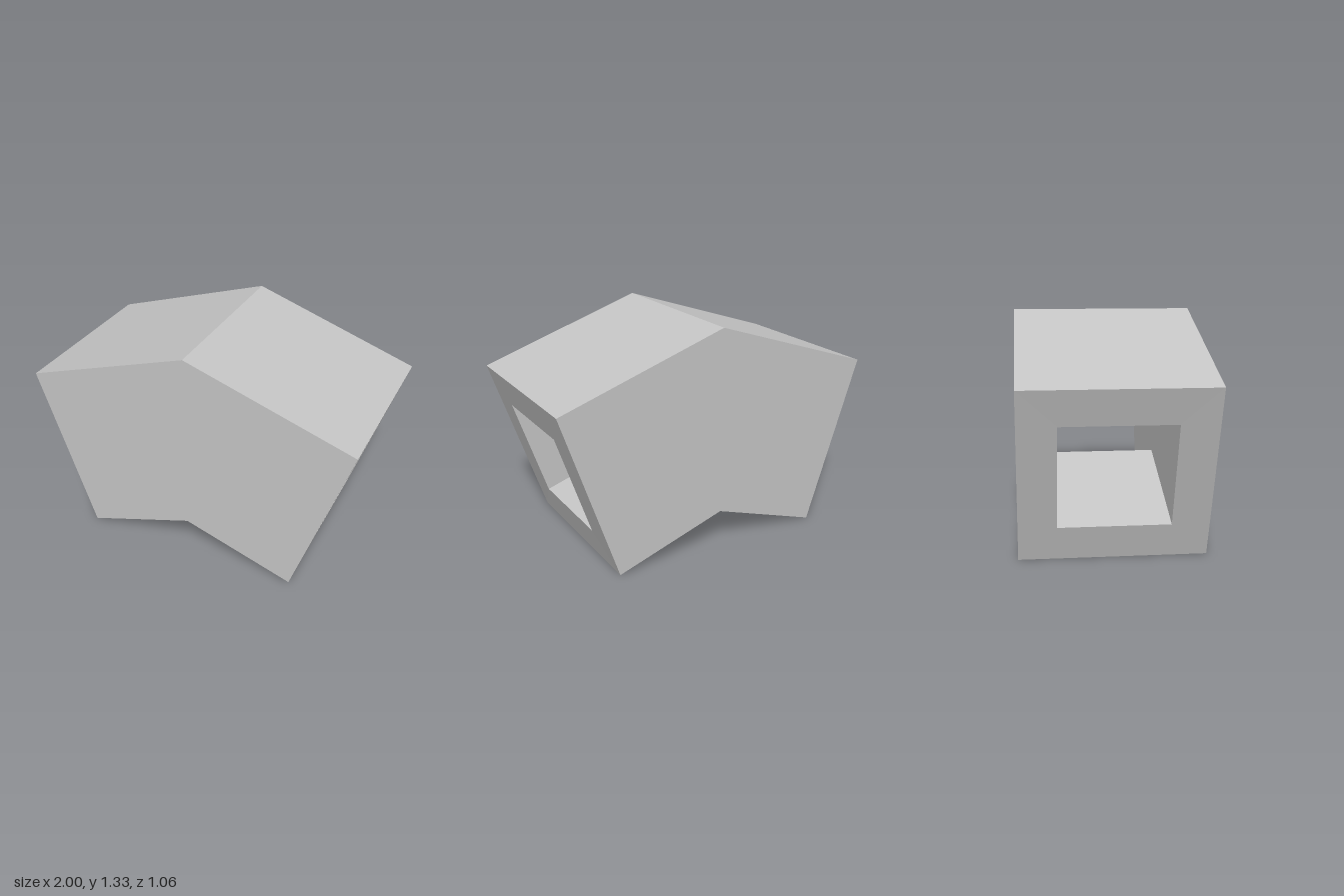
import * as THREE from 'three';

// Three matching cross-sections (right end, middle bend, left end), joined in a loop.
// Each section is a rectangle given by its bottom and top points and half depth.
function sweep(sections, halfDepth, inward) {
  const pos = [];
  const quad = (a, b, c, d) => {
    const q = inward ? [a, c, b, a, d, c] : [a, b, c, a, c, d];
    q.forEach(p => pos.push(...p));
  };
  const rings = sections.map(s => corners(s, halfDepth));
  for (let i = 0; i < rings.length - 1; i++) {
    for (let j = 0; j < 4; j++) {
      const k = (j + 1) % 4;
      quad(rings[i][j], rings[i + 1][j], rings[i + 1][k], rings[i][k]);
    }
  }
  return toGeometry(pos);
}

// Corners in order: bottom front, top front, top back, bottom back
function corners([bx, by, tx, ty], d) {
  return [[bx, by, d], [tx, ty, d], [tx, ty, -d], [bx, by, -d]];
}

// Frame-shaped end face between the outer and inner rectangles
function endFrame(outer, inner, outerDepth, innerDepth, flip) {
  const o = corners(outer, outerDepth);
  const n = corners(inner, innerDepth);
  const pos = [];
  for (let j = 0; j < 4; j++) {
    const k = (j + 1) % 4;
    const q = [o[j], n[k], o[k], o[j], n[j], n[k]];
    if (flip) q.reverse();
    q.forEach(p => pos.push(...p));
  }
  return toGeometry(pos);
}

function toGeometry(pos) {
  const g = new THREE.BufferGeometry();
  g.setAttribute('position', new THREE.Float32BufferAttribute(pos, 3));
  g.computeVertexNormals();
  return g;
}

export function createModel() {
  const group = new THREE.Group();
  group.name = 'bentDuct';
  const grey = new THREE.MeshStandardMaterial({ color: 0xc4c4c4 });
  grey.name = 'grey';

  // Mirror an end section and put the bend between the two
  const mirrored = (end, mid) => [[-end[0], end[1], -end[2], end[3]], mid, end];
  const outer = mirrored([0.667, 0, 1, 1], [0, 0.223, 0, 1.333]);
  const inner = mirrored([0.733, 0.2, 0.933, 0.8], [0, 0.444, 0, 1.111]);
  const outerDepth = 0.528, innerDepth = 0.316;

  const add = (name, geometry) => {
    const mesh = new THREE.Mesh(geometry, grey);
    mesh.name = name;
    group.add(mesh);
  };
  add('outerShell', sweep(outer, outerDepth, false));
  add('innerPassage', sweep(inner, innerDepth, true));
  add('rightEndFrame', endFrame(outer[0], inner[0], outerDepth, innerDepth, true));
  add('leftEndFrame', endFrame(outer[2], inner[2], outerDepth, innerDepth, false));
  return group;
}
